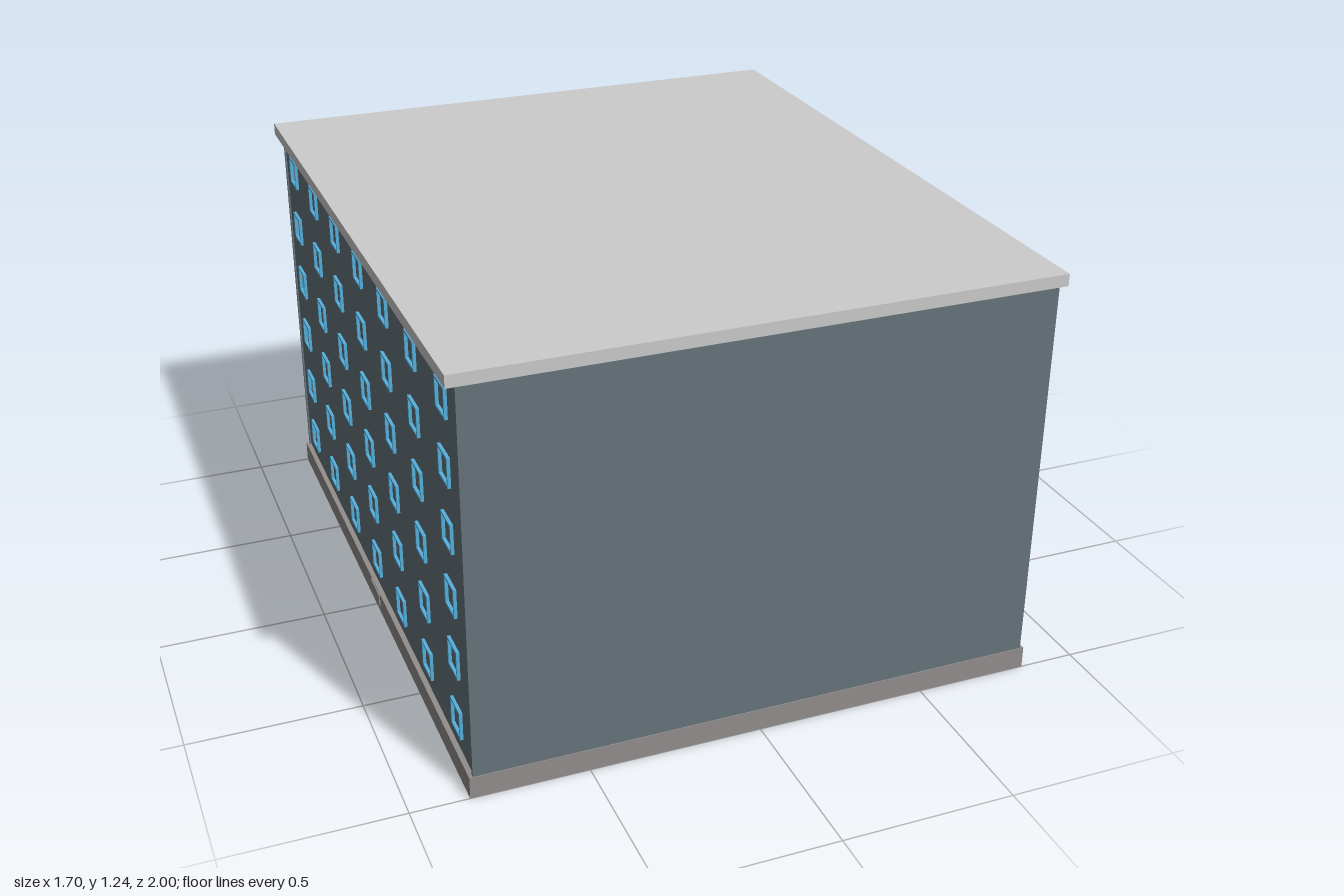
import * as THREE from 'three';

const mat = (color) => new THREE.MeshStandardMaterial({ color, flatShading: true });

export function createModel() {
  const model = new THREE.Group();
  const wallMat = mat(0x66747b), plinthMat = mat(0x918e8c), greyMat = mat(0xcccccc), frameMat = mat(0x55b0dd);

  const add = (name, geometry, material, x = 0, y = 0, z = 0) => {
    const mesh = new THREE.Mesh(geometry, material);
    mesh.name = name;
    mesh.position.set(x, y, z);
    model.add(mesh);
  };
  const box = (name, w, h, d, material, x, y, z) =>
    add(name, new THREE.BoxGeometry(w, h, d), material, x, y, z);
  const polygon = (pts, Type = THREE.Path) => new Type(pts.map(([u, v]) => new THREE.Vector2(u, v)));
  const square = (r, Type) => polygon([[-r, -r], [r, -r], [r, r], [-r, r]], Type);
  // Drawn as (-z, y), thickened along x
  const sideExtrude = (shape, depth) =>
    new THREE.ExtrudeGeometry(shape, { depth, bevelEnabled: false }).rotateY(Math.PI / 2);

  // Plinth, roof slab and the light core seen through the openings
  box('plinth', 1.67, 0.065, 2, plinthMat, 0, 0.0325, 0);
  box('roofSlab', 1.7, 0.035, 2, greyMat, 0, 1.2175, 0);
  box('interiorCore', 1.56, 1.135, 1.97, greyMat, 0, 0.6325, 0);

  // Blank end walls
  for (const s of [1, -1]) box(s > 0 ? 'frontWall' : 'backWall', 1.65, 1.135, 0.01, wallMat, 0, 0.6325, s * 0.992);

  // Window grid: seven columns, six storeys
  const columnU = (c) => -0.86 + c * 0.2865;
  const rowY = (r) => 0.16 + r * 0.19;
  const r = 0.036;
  // Lower edge of each rear opening, at its front and rear jambs
  const sills = [[0.008, -0.028], [-0.01, -r], [-0.015, -r], [-r, -r], [-0.028, -r], [-r, -r]];

  const frameShape = square(0.043, THREE.Shape);
  frameShape.holes.push(square(0.036));
  const frameGeometry = sideExtrude(frameShape, 0.011);

  for (const s of [1, -1]) {
    const side = s > 0 ? 'left' : 'right';

    // Long wall with openings in the rear column
    const wall = polygon([[-0.987, 0.065], [0.987, 0.065], [0.987, 1.2], [-0.987, 1.2]], THREE.Shape);
    sills.forEach(([a, b], row) => {
      const u = columnU(6), y = rowY(row);
      wall.holes.push(polygon([[u - r, y + a], [u + r, y + b], [u + r, y + r], [u - r, y + r]]));
    });
    if (s > 0) {
      // Narrow slanting gap in one window
      const u = columnU(5), y = rowY(4);
      wall.holes.push(polygon([[u - r, y + 0.018], [u + r, y + 0.005], [u + r, y + 0.02], [u - r, y + 0.03]]));
    }
    add(side + 'Wall', sideExtrude(wall, 0.04), wallMat, s > 0 ? 0.78 : -0.82);

    // Window frames
    for (let c = 0; c < 7; c++)
      for (let row = 0; row < 6; row++)
        add(side + 'WindowFrame', frameGeometry, frameMat, s > 0 ? 0.818 : -0.829, rowY(row), -columnU(c));
  }

  // Small vent in the plinth
  box('plinthVent', 0.01, 0.04, 0.1, plinthMat, -0.834, 0.042, 0);

  return model;
}
